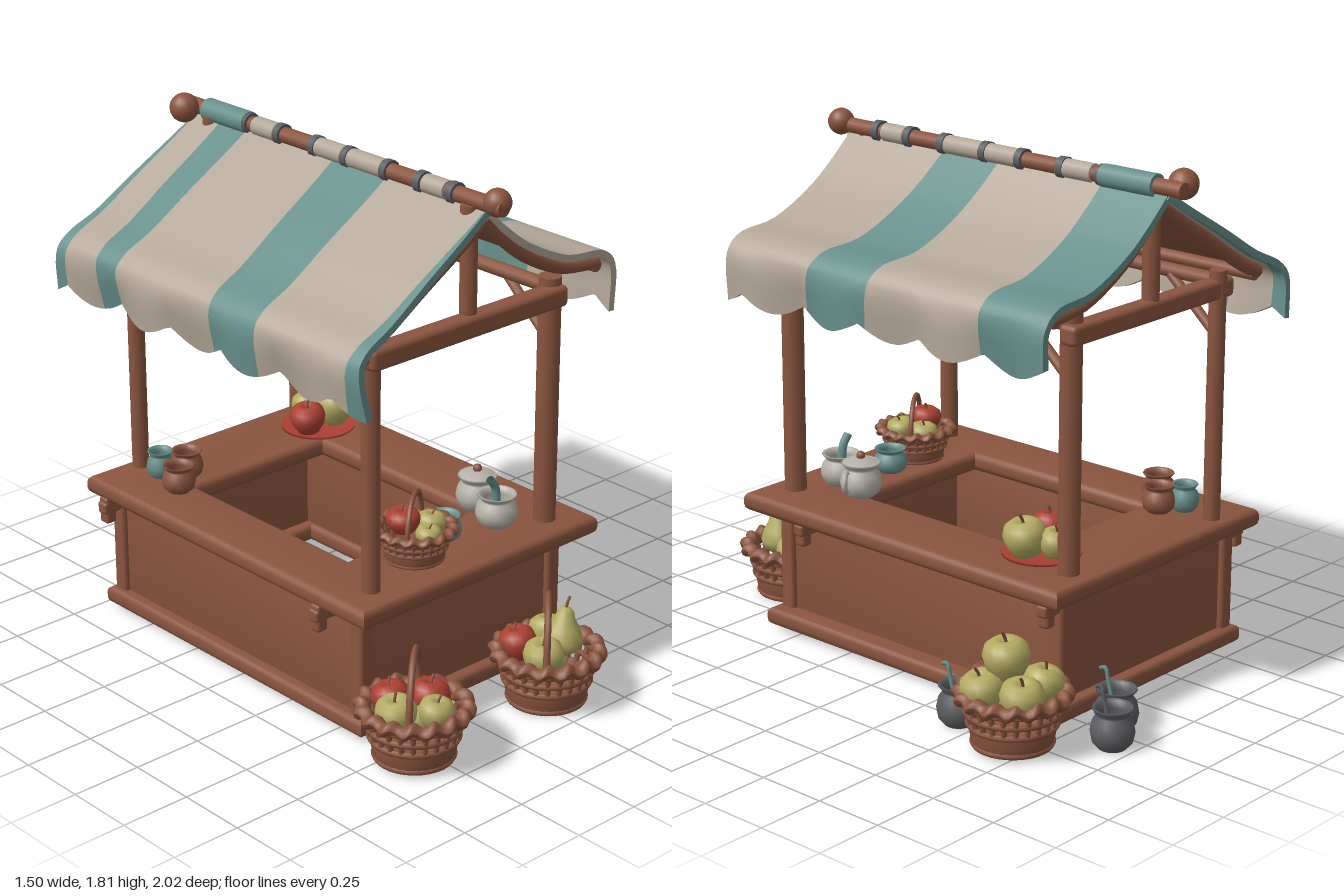
import * as THREE from 'three';
import { toCreasedNormals } from 'three/addons/utils/BufferGeometryUtils.js';
import { RoundedBoxGeometry } from 'three/addons/geometries/RoundedBoxGeometry.js';

const V = (x, y, z) => new THREE.Vector3(x, y, z);
const mat = (name, color, side = THREE.FrontSide) => {
  const m = new THREE.MeshStandardMaterial({ color, side });
  m.name = name;
  return m;
};

export function createModel() {
  const wood = mat('wood', 0x8a553f, THREE.DoubleSide);
  const cream = mat('creamCloth', 0xb3a798, THREE.DoubleSide);
  const teal = mat('tealCloth', 0x678f8b, THREE.DoubleSide);
  const red = mat('redFruit', 0xab4033);
  const green = mat('greenFruit', 0xb2aa62);
  const iron = mat('iron', 0x5d5e61);
  const clay = mat('paleClay', 0xb5b1a8);
  const model = new THREE.Group();
  model.name = 'marketStall';

  const add = (parent, geo, m, name, x = 0, y = 0, z = 0) => {
    const mesh = new THREE.Mesh(geo, m);
    mesh.name = name;
    mesh.position.set(x, y, z);
    parent.add(mesh);
    return mesh;
  };
  const group = (name, x, y, z, parent = model) => {
    const g = new THREE.Group();
    g.name = name;
    g.position.set(x, y, z);
    parent.add(g);
    return g;
  };
  const beam = (name, a, b, w, square = false, parent = model) => {
    const dir = b.clone().sub(a), len = dir.length();
    const geo = square ? new RoundedBoxGeometry(w, len, w, 2, w * 0.25)
      : new THREE.CylinderGeometry(w / 2, w / 2, len, 12);
    const mesh = add(parent, geo, wood, name);
    mesh.position.copy(a).add(b).multiplyScalar(0.5);
    mesh.quaternion.setFromUnitVectors(V(0, 1, 0), dir.normalize());
    return mesh;
  };
  const tube = (parent, pts, r, m, name, n = 20) =>
    add(parent, new THREE.TubeGeometry(new THREE.CatmullRomCurve3(pts), n, r, 8), m, name);
  const lathe = (pts, n = 20) => new THREE.LatheGeometry(pts.map(p => new THREE.Vector2(p[0], p[1])), n);

  // Rectangular ring lying flat: outer and inner limits, bottom and top heights
  const rect = (T, x0, x1, z0, z1) => {
    const s = new T();
    s.moveTo(x0, -z1); s.lineTo(x1, -z1); s.lineTo(x1, -z0); s.lineTo(x0, -z0); s.closePath();
    return s;
  };
  const ring = (name, o, i, y0, y1, b) => {
    const s = rect(THREE.Shape, o[0] + b, o[1] - b, o[2] + b, o[3] - b);
    s.holes.push(rect(THREE.Path, i[0] - b, i[1] + b, i[2] - b, i[3] + b));
    const geo = new THREE.ExtrudeGeometry(s, { depth: y1 - y0 - 2 * b, bevelSize: b, bevelThickness: b, bevelSegments: 3 });
    geo.rotateX(-Math.PI / 2);
    add(model, toCreasedNormals(geo, 0.7), wood, name, 0, y0 + b, 0);
  };

  // Hollow base and counter
  ring('counterTop', [-0.66, 0.425, -0.76, 0.69], [-0.43, 0.16, -0.43, 0.36], 0.455, 0.525, 0.025);
  ring('baseWalls', [-0.58, 0.31, -0.68, 0.59], [-0.54, 0.27, -0.64, 0.55], 0.05, 0.47, 0.004);
  ring('baseSkirt', [-0.62, 0.38, -0.72, 0.63], [-0.5, 0.25, -0.6, 0.5], 0.025, 0.09, 0.02);
  for (const x of [-0.57, 0.3]) for (const z of [-0.67, 0.58])
    beam('cornerStile', V(x, 0.04, z), V(x, 0.47, z), 0.06, true);
  for (const [x, s] of [[-0.58, -1], [0.31, 1]]) for (const z of [-0.67, 0.45]) {
    beam('counterBracket', V(x + s * 0.06, 0.37, z), V(x + s * 0.06, 0.47, z), 0.045, true);
    beam('bracketArm', V(x, 0.43, z), V(x + s * 0.09, 0.43, z), 0.045, true);
  }

  // Posts, beams, braces
  const posts = [[-0.53, 0.58, 0.065], [0.275, 0.58, 0.08], [-0.465, -0.7, 0.06], [0.26, -0.67, 0.075]];
  for (const [x, z, w] of posts) {
    beam('post', V(x, 0.5, z), V(x, 1.41, z), w);
    const s = Math.sign(z);
    beam('brace', V(x, 1.18, z), V(x, 1.36, z - s * 0.2), 0.035);
  }
  beam('frontBeam', V(-0.57, 1.345, 0.6), V(0.31, 1.345, 0.6), 0.075, true);
  beam('backBeam', V(-0.53, 1.345, -0.69), V(0.31, 1.345, -0.69), 0.07, true);
  beam('sideBeam', V(-0.5, 1.37, 0.6), V(-0.47, 1.37, -0.72), 0.05);
  beam('sideBeam', V(0.275, 1.37, 0.6), V(0.26, 1.37, -0.7), 0.05);
  for (const z of [0.59, -0.69]) beam('kingPost', V(-0.115, 1.36, z), V(-0.115, 1.75, z), 0.06);

  // Ridge pole with its knobs, wraps and rings
  beam('ridgePole', V(-0.1, 1.765, 0.73), V(-0.1, 1.765, -0.83), 0.055);
  add(model, new THREE.SphereGeometry(0.047, 16, 12), wood, 'ridgeKnob', -0.09, 1.775, 0.69);
  add(model, new THREE.SphereGeometry(0.052, 16, 12), wood, 'ridgeKnob', -0.16, 1.77, -0.78);
  const wrap = (m, z0, z1, r, name) =>
    add(model, new THREE.CylinderGeometry(r, r, z1 - z0, 14).rotateX(Math.PI / 2), m, name, -0.1, 1.765, (z0 + z1) / 2);
  wrap(teal, -0.72, -0.5, 0.04, 'ridgeWrap');
  for (const [a, b] of [[-0.46, -0.33], [-0.15, 0.01], [0.02, 0.2], [0.38, 0.48]]) wrap(cream, a, b, 0.033, 'ridgeWrap');
  for (const z of [-0.5, -0.33, -0.15, 0.01, 0.2, 0.36, 0.51]) wrap(iron, z - 0.014, z + 0.014, 0.037, 'ridgeRing');

  // Roof: sagging cross-sections swept along z, with a scalloped hem
  const profiles = {
    right: [[-0.1, 1.75], [0, 1.66], [0.1, 1.585], [0.28, 1.5], [0.45, 1.475], [0.505, 1.42], [0.5, 1.29]],
    left: [[-0.1, 1.75], [-0.22, 1.675], [-0.38, 1.58], [-0.54, 1.48], [-0.66, 1.42], [-0.7, 1.37], [-0.685, 1.25]],
  };
  const sheet = (side, e0, e1, m, name, uMax, off, thick) => {
    const curve = new THREE.CatmullRomCurve3(profiles[side].map(p => V(p[0], p[1], 0)));
    const nu = 28, nz = 20, s = side === 'right' ? 1 : -1, row = 2 * (nu + 1);
    const pos = [], idx = [];
    const quad = (a, b, c, d) => s > 0 ? idx.push(a, c, b, b, c, d) : idx.push(a, b, c, b, d, c);
    for (let k = 0; k <= nz; k++) for (let l = 0; l < row; l++) {
      const inner = l > nu, i = inner ? row - 1 - l : l, u = i / nu * uMax;
      const p = curve.getPoint(u), t = curve.getTangent(u), d = off + (inner ? thick : 0);
      const z = e0[0] + (e0[1] - e0[0]) * u + (e1[0] - e0[0] + (e1[1] - e0[1] - e1[0] + e0[0]) * u) * k / nz;
      const hem = Math.max(0, (u - 0.8) / 0.2);
      pos.push(p.x + s * t.y * d + hem * s * 0.015 * Math.sin(z * 14),
        p.y - s * t.x * d - hem * 0.05 * Math.abs(Math.sin((z - 0.04) * Math.PI / 0.27)), z);
    }
    for (let k = 0; k < nz; k++) for (let l = 0; l < row; l++) {
      const n = (l + 1) % row;
      quad(k * row + l, k * row + n, (k + 1) * row + l, (k + 1) * row + n);
    }
    for (let i = 0; i < nu; i++) {
      const o = row - 1 - i, e = nz * row;
      quad(o, o - 1, i, i + 1);
      quad(e + i, e + i + 1, e + o, e + o - 1);
    }
    const geo = new THREE.BufferGeometry();
    geo.setAttribute('position', new THREE.Float32BufferAttribute(pos, 3));
    geo.setIndex(idx);
    add(model, toCreasedNormals(geo, 0.8), m, name);
  };
  const edges = {
    right: [[-0.77, -0.77], [-0.5, -0.49], [-0.05, 0.01], [0.2, 0.29], [0.65, 0.66]],
    left: [[-0.775, -0.83], [-0.77, -0.77], [-0.64, -0.6], [-0.5, -0.5], [-0.06, 0], [0.2, 0.22], [0.655, 0.65], [0.66, 0.72]],
  };
  for (const side of ['right', 'left']) {
    const e = edges[side];
    for (let i = 0; i + 1 < e.length; i++)
      sheet(side, e[i], e[i + 1], i % 2 ? cream : teal, side + 'CanopyStripe', 1, 0, 0.025);
    sheet(side, [-0.7, -0.72], [0.61, 0.61], wood, side + 'RoofLining', 0.72, 0.027, 0.012);
    for (const z of [0.63, -0.73])
      tube(model, profiles[side].slice(0, 5).map(p => V(p[0] * 0.97, p[1] - 0.045, z)), 0.025, wood, side + 'Rafter');
    const end = profiles[side][4];
    beam(side + 'EavePole', V(end[0] * 0.94, end[1] - 0.05, 0.65), V(end[0] * 0.94, end[1] - 0.05, -0.74), 0.045);
  }

  // Fruit
  const appleGeo = lathe([[0, -0.78], [0.3, -0.88], [0.62, -0.72], [0.9, -0.25], [1, 0.2], [0.88, 0.62], [0.55, 0.86], [0.22, 0.82], [0, 0.6]], 18);
  const pearGeo = lathe([[0, -0.85], [0.5, -0.8], [0.92, -0.4], [1, 0], [0.8, 0.5], [0.5, 0.95], [0.4, 1.3], [0.22, 1.5], [0, 1.55]], 18);
  const fruit = (parent, x, y, z, r, m, pear = false) => {
    const g = group(pear ? 'pear' : 'apple', x, y, z, parent);
    g.scale.setScalar(r);
    g.rotation.set(z * 2, 0, -x * 2);
    add(g, pear ? pearGeo : appleGeo, m, 'flesh');
    const y0 = pear ? 1.5 : 0.6;
    tube(g, [V(0, y0, 0), V(0.04, y0 + 0.3, 0), V(0.16, y0 + 0.55, 0)], 0.07, wood, 'stem', 5);
  };

  // Wicker basket: bowl, open stakes, bands, braided rim, optional handle
  const rimGeo = new THREE.TorusGeometry(0.172, 0.024, 10, 96).rotateX(Math.PI / 2);
  const rp = rimGeo.attributes.position;
  for (let i = 0; i < rp.count; i++) {
    const a = Math.atan2(rp.getZ(i), rp.getX(i)), k = 1 + 0.035 * Math.sin(a * 16);
    rp.setXYZ(i, rp.getX(i) * k, rp.getY(i) + 0.009 * Math.cos(a * 16), rp.getZ(i) * k);
  }
  rimGeo.computeVertexNormals();
  const basket = (x, y, z, turn, fruits) => {
    const g = group('basket', x, y, z);
    add(g, lathe([[0, 0], [0.125, 0], [0.137, 0.02], [0.147, 0.085], [0.137, 0.085], [0.12, 0.025], [0, 0.025]], 28), wood, 'basketBowl');
    for (let i = 0; i < 24; i++) {
      const a = i * Math.PI / 12, c = Math.cos(a), s = Math.sin(a);
      beam('stake', V(0.14 * c, 0.07, 0.14 * s), V(0.165 * c, 0.18, 0.165 * s), 0.02, false, g);
    }
    for (const [r, h] of [[0.13, 0.012], [0.146, 0.08], [0.154, 0.12], [0.163, 0.16]])
      add(g, new THREE.TorusGeometry(r, 0.011, 6, 32).rotateX(Math.PI / 2), wood, 'band', 0, h, 0);
    add(g, rimGeo, wood, 'basketRim', 0, 0.18, 0);
    if (turn !== null) {
      const h = add(g, new THREE.TorusGeometry(0.15, 0.012, 8, 28, Math.PI), wood, 'basketHandle', 0, 0.18, 0);
      h.scale.y = 1.3;
      h.rotation.y = turn;
    }
    for (const f of fruits) fruit(g, ...f);
    return g;
  };
  basket(-0.55, 0.02, 0.81, 0.7, [[-0.08, 0.18, 0, 0.07, green], [0.075, 0.18, -0.01, 0.07, red],
    [0.02, 0.18, 0.08, 0.06, green], [-0.02, 0.18, -0.09, 0.065, red], [0.01, 0.13, 0, 0.07, green]]);
  basket(0.055, 0.01, 0.82, 0.75, [[-0.06, 0.19, 0.04, 0.07, green], [0.05, 0.22, 0.02, 0.072, green, true],
    [-0.05, 0.19, -0.09, 0.065, red], [0.08, 0.19, -0.08, 0.065, green], [0, 0.14, 0, 0.07, green]]);
  basket(0.545, 0.02, -0.68, null, [[0.02, 0.3, 0.01, 0.08, green], [-0.07, 0.2, 0.09, 0.07, red], [0.09, 0.2, 0.05, 0.075, green],
    [0.06, 0.2, -0.09, 0.075, green], [-0.08, 0.2, -0.06, 0.07, green], [0, 0.2, 0.11, 0.06, wood], [0, 0.16, 0, 0.08, green]]);
  const small = basket(-0.26, 0.525, 0.5, 0.6, [[-0.05, 0.23, -0.02, 0.08, red], [0.07, 0.19, 0.03, 0.07, green],
    [0, 0.17, 0.09, 0.06, green], [0.03, 0.18, -0.08, 0.07, green]]);
  small.scale.set(0.74, 0.62, 0.74);
  add(small, lathe([[0.12, 0.01], [0.17, 0.18]], 24), wood, 'basketLining');

  // Pots: body, neck and open mouth
  const potGeo = lathe([[0, 0], [0.62, 0], [0.9, 0.16], [1, 0.4], [0.9, 0.66], [0.72, 0.78], [0.74, 0.85], [0.92, 0.96], [0.88, 1],
    [0.74, 0.96], [0.6, 0.8], [0.8, 0.45], [0.5, 0.12], [0, 0.1]], 20);
  const pot = (name, x, y, z, r, h, m) => {
    const g = group(name, x, y, z);
    add(g, potGeo, m, 'potBody').scale.set(r, h, r);
    return g;
  };
  for (const [x, z, spoon] of [[0.335, -0.925, 0], [0.21, -0.84, 1], [0.53, -0.43, 1]]) {
    const g = pot('ironPot', x, 0.01, z, 0.075, 0.145, iron);
    tube(g, [V(0.01, 0.05, 0), V(0.01, 0.17, 0.03), V(0.01, 0.205, 0.04), V(0, 0.195, 0.07)], 0.007, spoon ? teal : iron, 'ladle');
  }
  pot('tealPot', -0.085, 0.525, 0.46, 0.062, 0.09, teal);
  pot('brownPot', -0.5, 0.525, -0.44, 0.06, 0.1, wood);
  pot('brownPot', -0.4, 0.525, -0.52, 0.06, 0.1, wood);
  pot('tealPot', -0.47, 0.525, -0.58, 0.05, 0.1, teal);
  const spoonPot = pot('palePot', 0.125, 0.525, 0.5, 0.075, 0.115, clay);
  tube(spoonPot, [V(0, 0.05, 0), V(-0.01, 0.14, 0), V(-0.035, 0.175, 0)], 0.015, teal, 'spoon');
  const jug = pot('paleJug', 0.17, 0.525, 0.36, 0.075, 0.125, clay);
  add(jug, lathe([[0.068, 0.12], [0.04, 0.135], [0, 0.14]]), clay, 'jugLid');
  add(jug, new THREE.SphereGeometry(0.016, 10, 8), wood, 'lidKnob', 0, 0.147, 0);
  add(jug, new THREE.TorusGeometry(0.032, 0.01, 8, 16), clay, 'jugHandle', 0.075, 0.065, 0).rotation.y = 0.6;

  // Plate of apples
  const plate = group('fruitPlate', 0.21, 0.525, -0.51);
  add(plate, lathe([[0, 0], [0.09, 0], [0.135, 0.018], [0.135, 0.028], [0.085, 0.013], [0, 0.013]], 28), red, 'plate');
  fruit(plate, -0.075, 0.075, 0.03, 0.065, red);
  fruit(plate, 0.06, 0.08, 0.02, 0.075, green);
  fruit(plate, 0.01, 0.07, -0.07, 0.058, green);
  return model;
}
